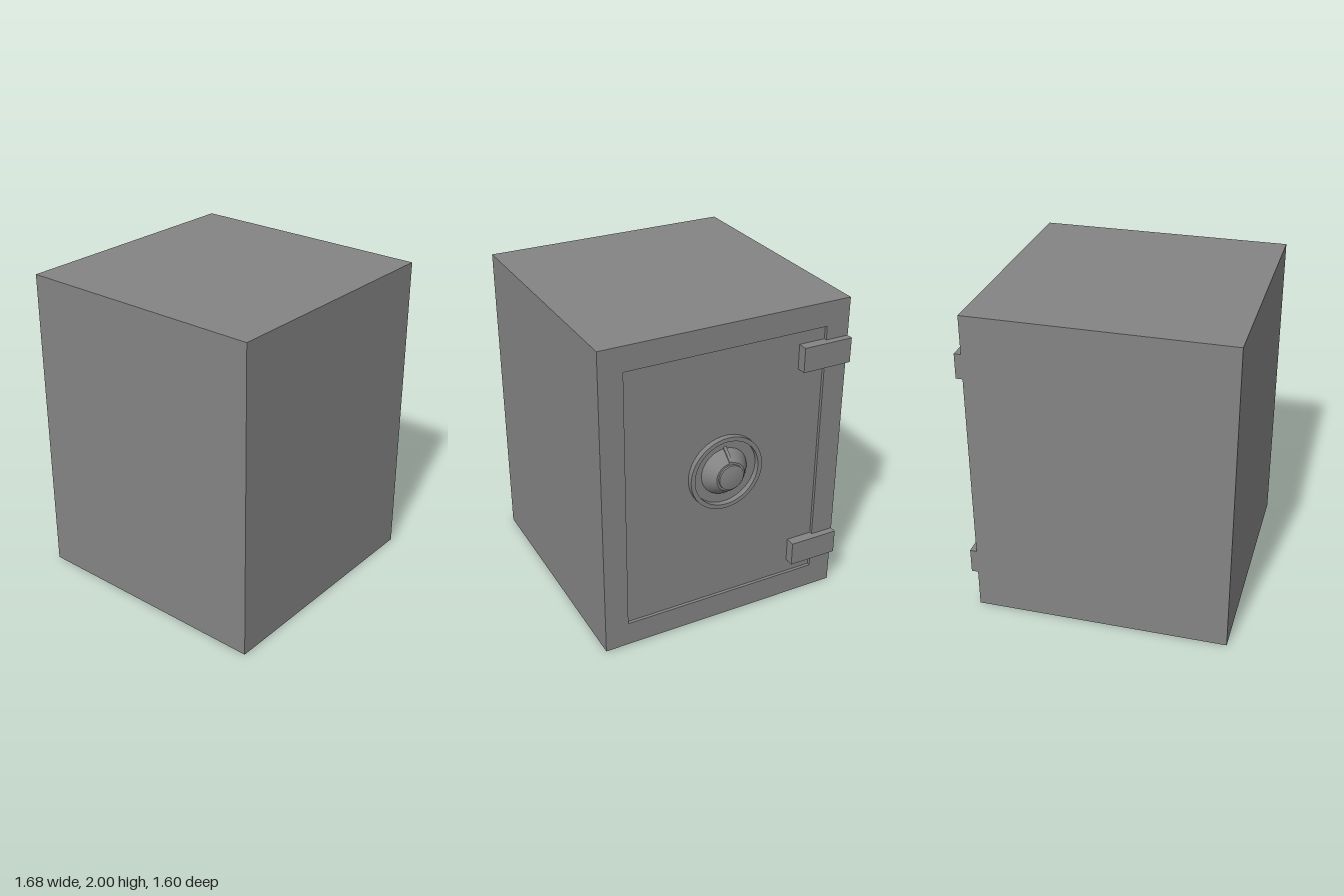
import * as THREE from 'three';
import { toCreasedNormals } from 'three/addons/utils/BufferGeometryUtils.js';

export function createModel() {
  const safe = new THREE.Group();
  safe.name = 'safe';
  const steel = new THREE.MeshStandardMaterial({ color: 0x848484 });
  steel.name = 'grey steel';

  const add = (name, geometry, parent = safe) => {
    const mesh = new THREE.Mesh(geometry, steel);
    mesh.name = name;
    parent.add(mesh);
    return mesh;
  };
  // Box given by its lower and upper corners
  const addBox = (name, a, b) => {
    const mesh = add(name, new THREE.BoxGeometry(b[0] - a[0], b[1] - a[1], b[2] - a[2]));
    mesh.position.set((a[0] + b[0]) / 2, (a[1] + b[1]) / 2, (a[2] + b[2]) / 2);
  };

  const back = -0.845, core = 0.713, doorFace = 0.735, face = 0.755;

  // Cabinet, door frame around the opening, and the recessed door
  addBox('cabinet', [back, 0, -0.8], [core, 2, 0.8]);

  const outline = new THREE.Shape([[-0.8, 0], [0.8, 0], [0.8, 2], [-0.8, 2]].map(p => new THREE.Vector2(...p)));
  outline.holes.push(new THREE.Path(
    [[-0.65, 0.156], [-0.65, 1.846], [0.65, 1.846], [0.65, 0.156]].map(p => new THREE.Vector2(...p))));
  const frame = add('doorFrame', new THREE.ExtrudeGeometry(outline, { depth: face - core, bevelEnabled: false }));
  frame.rotation.y = Math.PI / 2;
  frame.position.x = core;

  addBox('door', [core, 0.156, -0.65], [doorFace, 1.846, 0.65]);

  // Hinges bridge the door and the frame
  for (const [name, y] of [['upperHinge', 1.603], ['lowerHinge', 0.243]]) {
    addBox(name, [doorFace, y, -0.8], [0.797, y + 0.157, -0.48]);
  }

  // Combination dial: its axis points out of the door along +x
  const dial = new THREE.Group();
  dial.name = 'dial';
  dial.position.set(doorFace, 1.044, 0);
  safe.add(dial);

  const addTurned = (name, profile) => {
    const lathe = new THREE.LatheGeometry(profile.map(p => new THREE.Vector2(...p)), 48);
    add(name, toCreasedNormals(lathe, 0.5), dial).rotation.z = -Math.PI / 2;
  };
  addTurned('dialRing', [[0.239, 0], [0.239, 0.035], [0.212, 0.035], [0.212, 0]]);
  addTurned('knob', [[0.152, 0], [0.144, 0.015], [0.126, 0.036], [0.108, 0.06], [0.093, 0.077], [0.08, 0.077]]);
  addTurned('knobCap', [[0.08, 0.077], [0.08, 0.09], [0.07, 0.092], [0, 0.103]]);

  // Raised index mark lying on the upper slope of the knob
  const mark = new THREE.Shape(
    [[0, 0.1], [0.077, 0.08], [0.077, 0.1], [0.036, 0.136], [0, 0.164]].map(p => new THREE.Vector2(...p)));
  const marker = add('indexMark', new THREE.ExtrudeGeometry(mark, { depth: 0.02, bevelEnabled: false }), dial);
  marker.position.z = -0.01;

  return safe;
}
